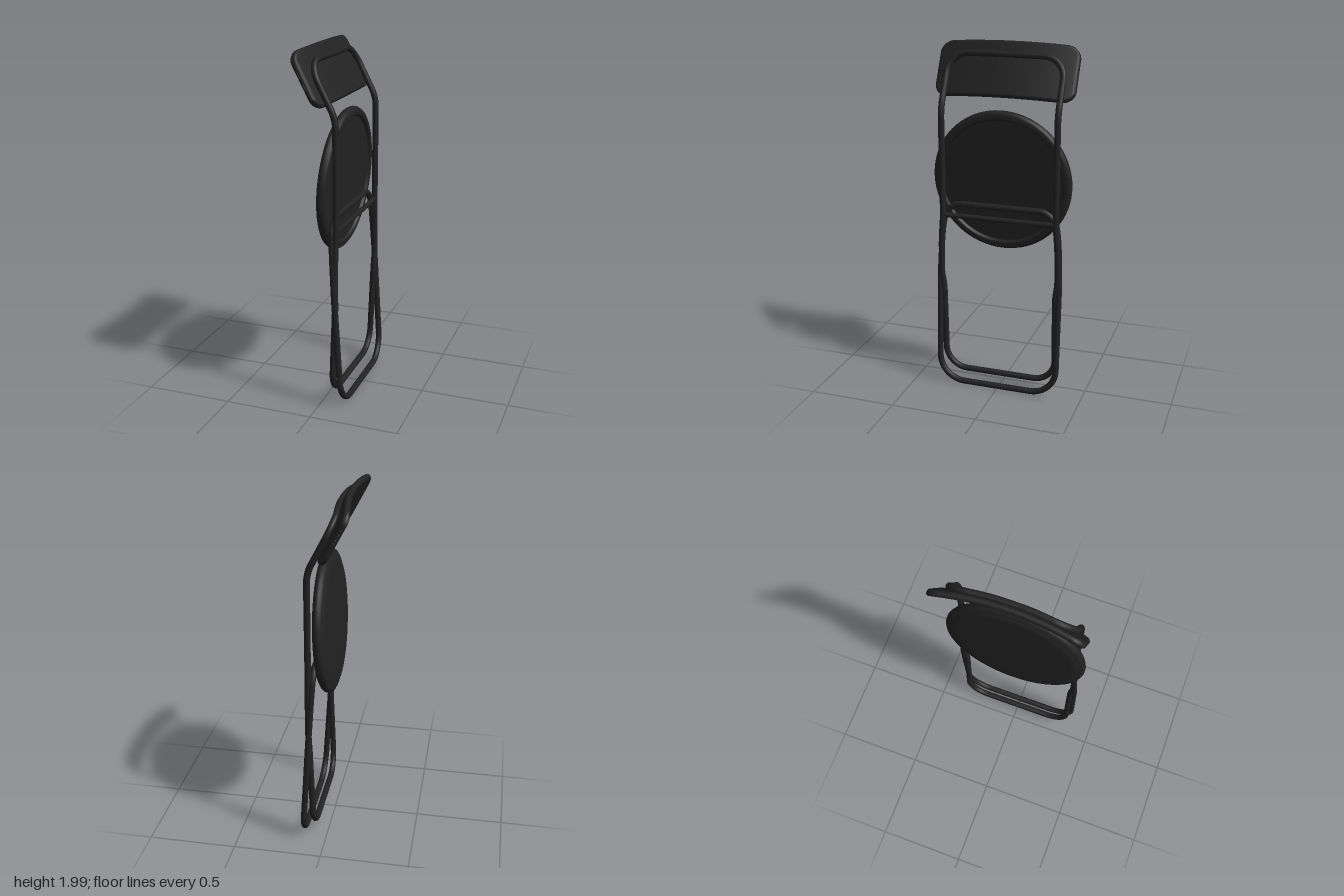
import * as THREE from 'three';

const black = new THREE.MeshStandardMaterial({ color: 0x222222 });
black.name = 'black';

const TUBE = 0.0175;

function add(group, geometry, name) {
  const mesh = new THREE.Mesh(geometry, black);
  mesh.name = name;
  group.add(mesh);
  return mesh;
}

// Closed tube through [x, y, z, bendRadius] corners, each corner rounded off
function bentLoop(corners) {
  const pts = corners.map(c => new THREE.Vector3(c[0], c[1], c[2]));
  const n = pts.length;
  const path = new THREE.CurvePath();
  const bends = pts.map((p, i) => {
    const toward = q => p.clone().add(q.clone().sub(p).setLength(corners[i][3]));
    return [toward(pts[(i + n - 1) % n]), p, toward(pts[(i + 1) % n])];
  });
  bends.forEach((b, i) => {
    // two-control curve close to a circular arc
    const c1 = b[0].clone().lerp(b[1], 0.55);
    const c2 = b[2].clone().lerp(b[1], 0.55);
    path.add(new THREE.CubicBezierCurve3(b[0], c1, c2, b[2]));
    path.add(new THREE.LineCurve3(b[2], bends[(i + 1) % n][0]));
  });
  return new THREE.TubeGeometry(path, 320, TUBE, 12, true);
}

// Half of a frame on +z, mirrored to close the loop
function mirroredLoop(half) {
  const other = half.map(([x, y, z, r]) => [x, y, -z, r]).reverse();
  return bentLoop([...half, ...other]);
}

// Curved back panel: stadium cross-sections lofted along z
function backPanelGeometry() {
  const halfWidth = 0.4, halfHeight = 0.16, halfThick = 0.0175, corner = 0.075, bow = 0.048;
  const up = new THREE.Vector2(-0.46, 0.888), out = new THREE.Vector2(0.888, 0.46);
  const stations = 48, ring = 20;
  const pos = [], index = [];
  for (let i = 0; i <= stations; i++) {
    const z = halfWidth * Math.sin((i / stations - 0.5) * Math.PI);
    const d = Math.max(0, (Math.abs(z) - halfWidth + corner) / corner);
    const h = halfHeight - corner + corner * Math.sqrt(Math.max(0, 1 - d * d));
    const e = Math.max(0, (Math.abs(z) - halfWidth + halfThick) / halfThick);
    const t = halfThick * Math.sqrt(Math.max(0, 1 - e * e)) + 0.0003;
    const shift = bow * (1 - (z / halfWidth) ** 2);
    for (let j = 0; j < ring; j++) {
      const lower = j >= ring / 2;
      const k = lower ? j - ring / 2 : j;
      const a = (k / (ring / 2 - 1)) * Math.PI + (lower ? Math.PI : 0);
      const u = (lower ? -1 : 1) * (h - t) + t * Math.sin(a);
      const v = t * Math.cos(a) + shift;
      pos.push(-0.062 + up.x * u + out.x * v, 1.828 + up.y * u + out.y * v, z);
    }
  }
  for (let i = 0; i < stations; i++) {
    for (let j = 0; j < ring; j++) {
      const a = i * ring + j, b = i * ring + (j + 1) % ring;
      index.push(a, b, a + ring, b, b + ring, a + ring);
    }
  }
  const g = new THREE.BufferGeometry();
  g.setAttribute('position', new THREE.Float32BufferAttribute(pos, 3));
  g.setIndex(index);
  g.computeVertexNormals();
  return g;
}

export function createModel() {
  const chair = new THREE.Group();
  chair.name = 'foldedChair';

  // Main frame: arch behind the back panel, long legs, lower foot bar
  add(chair, mirroredLoop([
    [-0.032, 1.928, 0.1, 0.06],
    [-0.056, 1.922, 0.33, 0.12],
    [0.092, 1.635, 0.33, 0.05],
    [0.092, 1.02, 0.33, 0.04],
    [0.091, 0.88, 0.342, 0.04],
    [0.09, 0.68, 0.345, 0.03],
    [0.088, 0.6, 0.332, 0.03],
    [0.068, 0.072, 0.332, 0.13],
  ]), 'mainFrame');

  // Rear frame: crosses the main frame and carries the seat at its top bar
  add(chair, mirroredLoop([
    [0.063, 1.092, 0.315, 0.09],
    [0.073, 0.93, 0.342, 0.05],
    [0.09, 0.65, 0.354, 0.05],
    [0.13, 0.018, 0.352, 0.15],
  ]), 'rearFrame');

  // Straight cross bar between the main legs
  const bar = add(chair, new THREE.CylinderGeometry(0.015, 0.015, 0.66, 12), 'crossBar');
  bar.rotation.x = Math.PI / 2;
  bar.position.set(0.09, 1.028, 0);

  // Pivot pins where the frames cross
  for (const side of [-1, 1]) {
    const pin = add(chair, new THREE.CylinderGeometry(0.01, 0.01, 0.04, 12), 'pivotPin');
    pin.rotation.x = Math.PI / 2;
    pin.position.set(0.09, 0.65, side * 0.347);
  }

  // Back panel
  add(chair, backPanelGeometry(), 'backPanel');

  // Round seat, folded nearly upright: hollow underside, thick rim, domed pad
  const profile = [
    [0, -0.012], [0.345, -0.012], [0.35, -0.014], [0.354, -0.024], [0.36, -0.027],
    [0.382, -0.026], [0.393, -0.019], [0.4, -0.006], [0.4, 0.006], [0.393, 0.018],
    [0.382, 0.024], [0.368, 0.026], [0.362, 0.03], [0.35, 0.035], [0.32, 0.038],
    [0.2, 0.041], [0, 0.042],
  ].map(([r, y]) => new THREE.Vector2(r, y));
  const seat = add(chair, new THREE.LatheGeometry(profile, 72), 'seat');
  seat.rotation.z = THREE.MathUtils.degToRad(86.8);
  seat.position.set(0.027, 1.237, 0);

  return chair;
}
